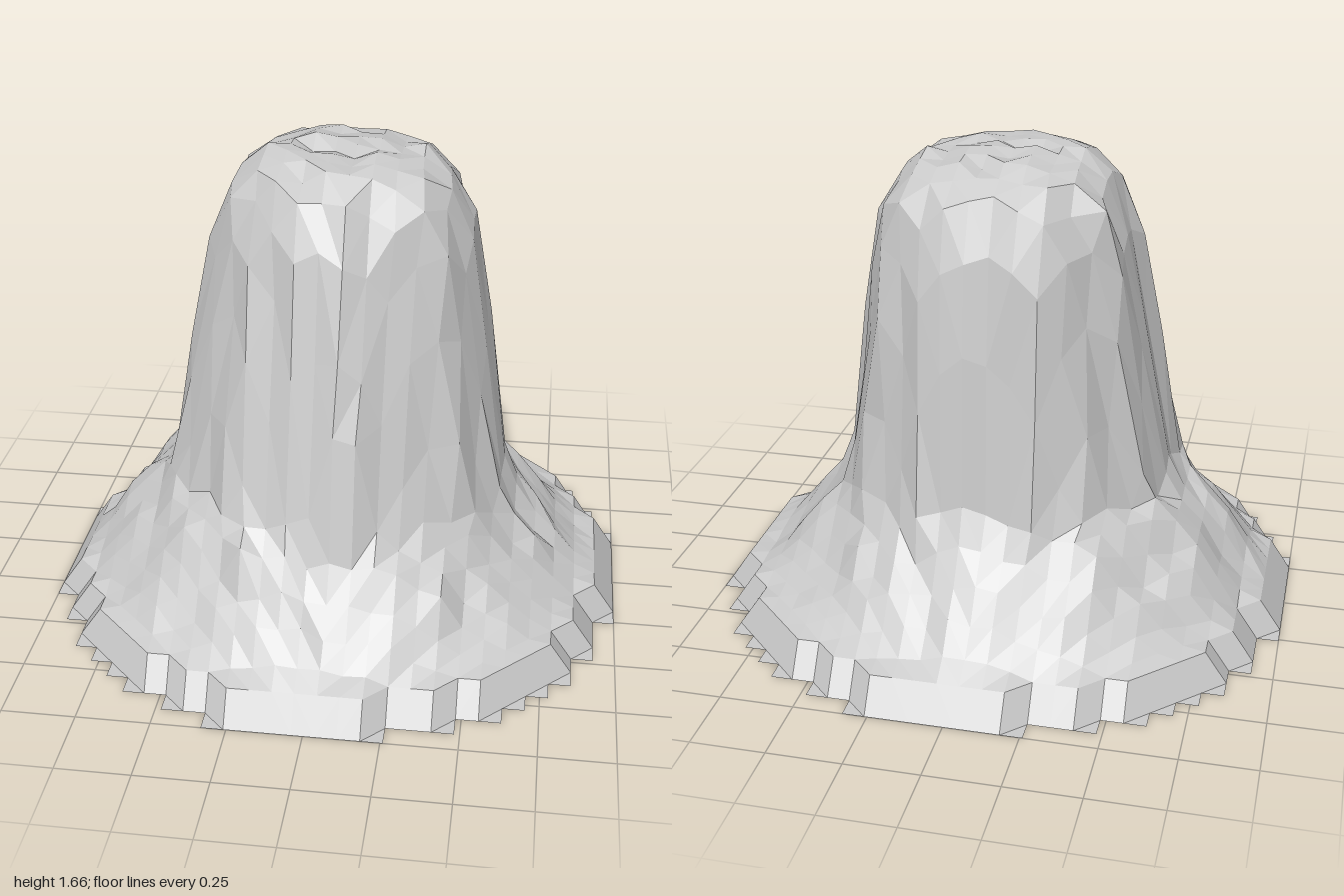
import * as THREE from 'three';

const N = 27, STEP = 2 / N;
const { smoothstep } = THREE.MathUtils;

// Cross-section from summit to foot: grid radius, placed radius, height
const PROFILE = [
  [0, 0, 1.64], [0.26, 0.26, 1.62], [0.33, 0.345, 1.57], [0.38, 0.41, 1.48], [0.44, 0.455, 1.3],
  [0.5, 0.51, 0.95], [0.56, 0.58, 0.52], [0.63, 0.63, 0.43], [0.7, 0.7, 0.34],
  [0.8, 0.8, 0.22], [0.87, 0.87, 0.14], [0.93, 0.93, 0.11],
];

// Taller stones on the slope: x, z, width, extra height
const STONES = [[-0.26, 0.63, 0.09, 0.1], [0.4, 0.6, 0.09, 0.06], [-0.78, 0.05, 0.13, 0.06]];

function profileAt(s) {
  let k = 1;
  while (k < PROFILE.length - 1 && PROFILE[k][0] < s) k++;
  const a = PROFILE[k - 1], b = PROFILE[k];
  const t = Math.min((s - a[0]) / (b[0] - a[0]), 1);
  return [a[1] + (b[1] - a[1]) * t, a[2] + (b[2] - a[2]) * t];
}

// Repeatable noise in -1..1
function hash(a, b) {
  const v = Math.sin(a * 127.1 + b * 311.7 + 5.3) * 43758.5453;
  return (v - Math.floor(v)) * 2 - 1;
}

// Stepped round outline; the end cells of the outer rows turn like a pinwheel
function inside(i, j) {
  if (i < 0 || j < 0 || i >= N || j >= N) return false;
  const a = i - 13, b = j - 13;
  if (a * a + b * b > 185) return false;
  return !((a === 4 && b === 13) || (a === -4 && b === -13) ||
    (a === -13 && b === -4) || (a === 13 && b === 4));
}

function onRim(i, j) {
  return !(inside(i, j) && inside(i - 1, j) && inside(i, j - 1) && inside(i - 1, j - 1));
}

// Vertical grooves, constant along the height of the column
function flute(angle) {
  return 0.012 * Math.sin(angle * 9 + 1) + 0.01 * Math.sin(angle * 17 + 2.4) + 0.007 * Math.sin(angle * 5);
}

function rockPoint(i, j) {
  const x = -1 + i * STEP, z = -1 + j * STEP;
  if (onRim(i, j)) return [x, 0, z];
  // Low kerb just inside the outline
  if (onRim(i - 1, j) || onRim(i + 1, j) || onRim(i, j - 1) || onRim(i, j + 1)) return [x, 0.11, z];
  // Pinnacle standing against the front of the column
  if (j === 21 && (i === 14 || i === 15)) return [x, 0.84 - (i - 14) * 0.02, 0.54];

  const s = Math.hypot(x, z), angle = Math.atan2(z, x);
  const n = hash(i, j), block = hash(Math.floor(i / 2), Math.floor(j / 2));
  let [r, y] = profileAt(s);

  if (s < 0.6) {
    // Column: crowd the grid into the cliff, groove it and lean the summit
    const lean = smoothstep(y, 0.5, 1.4);
    r += smoothstep(s, 0.25, 0.4) * (flute(angle) + 0.006 * n);
    y += s < 0.36 ? 0.018 * n + 0.01 * block : 0.03 * block;
    return [Math.cos(angle) * r + 0.01 * lean, y, Math.sin(angle) * r - 0.05 * lean];
  }

  // Talus: boulders on a slope, heavier towards -x
  const fade = smoothstep(0.95 - s, 0, 0.25);
  y += fade * (0.025 * n + 0.02 * block + 0.02 * Math.sin(angle * 11 + 0.7) - 0.04 * Math.cos(angle));
  for (const [sx, sz, width, height] of STONES) {
    y += height * Math.max(0, 1 - Math.hypot(x - sx, z - sz) / width);
  }
  return [x, Math.max(y, 0.11), z];
}

export function createModel() {
  const group = new THREE.Group();
  group.name = 'rockButte';

  const positions = [], index = [];
  for (let j = 0; j <= N; j++)
    for (let i = 0; i <= N; i++) positions.push(...rockPoint(i, j));

  for (let j = 0; j < N; j++) {
    for (let i = 0; i < N; i++) {
      if (!inside(i, j)) continue;
      const a = j * (N + 1) + i, b = a + 1, c = a + N + 1, d = c + 1;
      // Diagonals run around the hill so the slopes stay even
      if ((i - 13) * (j - 13) > 0) index.push(a, c, b, b, c, d);
      else index.push(a, c, d, a, d, b);
    }
  }

  const geometry = new THREE.BufferGeometry();
  geometry.setAttribute('position', new THREE.Float32BufferAttribute(positions, 3));
  geometry.setIndex(index);
  const faceted = geometry.toNonIndexed();
  faceted.computeVertexNormals();

  const rock = new THREE.Mesh(faceted, new THREE.MeshStandardMaterial({
    color: 0xcccccc, flatShading: true, side: THREE.DoubleSide,
  }));
  rock.name = 'rockSurface';
  group.add(rock);
  return group;
}
